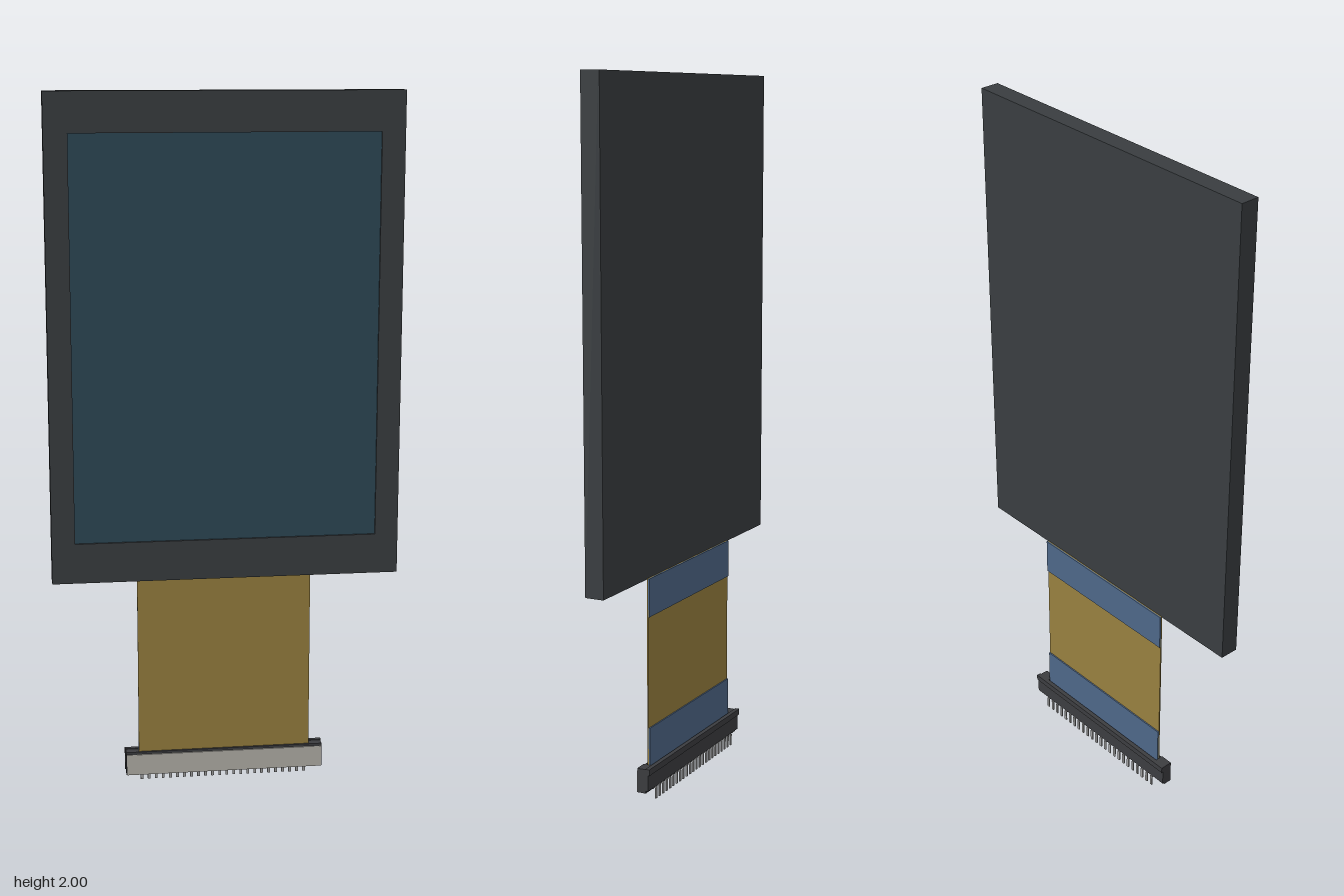
import * as THREE from 'three';

const mat = (color) => new THREE.MeshStandardMaterial({ color });
const DARK = mat(0x393d40), SCREEN = mat(0x2d4856), FILM = mat(0x98803f);
const BLUE = mat(0x4e6788), HOUSING = mat(0xb4b2aa), LATCH = mat(0x3c3d40), METAL = mat(0xa0a0a0);

// Box given by its min and max corners
function box(parent, name, material, [x0, y0, z0], [x1, y1, z1]) {
  const mesh = new THREE.Mesh(new THREE.BoxGeometry(x1 - x0, y1 - y0, z1 - z0), material);
  mesh.position.set((x0 + x1) / 2, (y0 + y1) / 2, (z0 + z1) / 2);
  mesh.name = name;
  parent.add(mesh);
  return mesh;
}

function rect(PathType, x0, y0, x1, y1) {
  return new PathType([[x0, y0], [x1, y0], [x1, y1], [x0, y1]].map(([x, y]) => new THREE.Vector2(x, y)));
}

function subgroup(parent, name) {
  const group = new THREE.Group();
  group.name = name;
  parent.add(group);
  return group;
}

export function createModel() {
  const model = new THREE.Group();
  model.name = 'displayModule';

  // Panel: frame with a window, a slightly recessed screen, and a plain back
  const panel = subgroup(model, 'panel');
  const outline = rect(THREE.Shape, -0.496, 0.632, 0.496, 2);
  outline.holes.push(rect(THREE.Path, -0.43, 0.747, 0.43, 1.888));
  const frame = new THREE.Mesh(
    new THREE.ExtrudeGeometry(outline, { depth: 0.052, bevelEnabled: false }), DARK);
  frame.position.z = -0.012;
  frame.name = 'frame';
  panel.add(frame);
  box(panel, 'backCover', DARK, [-0.496, 0.632, -0.015], [0.496, 2, -0.012]);
  box(panel, 'screen', SCREEN, [-0.43, 0.747, -0.012], [0.43, 1.888, 0.034]);

  // Flat ribbon cable with a stiffener on the back of each end
  const cable = subgroup(model, 'ribbonCable');
  box(cable, 'film', FILM, [-0.252, 0.05, -0.018], [0.252, 0.634, -0.014]);
  box(cable, 'upperStiffener', BLUE, [-0.252, 0.525, -0.022], [0.252, 0.634, -0.018]);
  box(cable, 'lowerStiffener', BLUE, [-0.252, 0.05, -0.022], [0.252, 0.205, -0.018]);

  // Connector: light front wall, dark latch behind, end blocks and a floor
  const connector = subgroup(model, 'connector');
  box(connector, 'frontWall', HOUSING, [-0.288, 0.028, -0.01], [0.288, 0.09, 0]);
  box(connector, 'topLip', LATCH, [-0.282, 0.09, -0.01], [0.282, 0.097, -0.004]);
  box(connector, 'floor', LATCH, [-0.25, 0.028, -0.03], [0.25, 0.05, -0.01]);
  box(connector, 'latch', LATCH, [-0.292, 0.036, -0.036], [0.292, 0.1, -0.028]);
  box(connector, 'latchRib', LATCH, [-0.292, 0.082, -0.041], [0.292, 0.1, -0.036]);
  for (const s of [-1, 1]) {
    const [a, b] = s < 0 ? [-0.29, -0.252] : [0.252, 0.29];
    box(connector, 'endBlock', LATCH, [a, 0.028, -0.028], [b, 0.098, -0.002]);
  }

  // Row of bent solder pins
  const pins = subgroup(connector, 'pins');
  const count = 24;
  for (let i = 0; i < count; i++) {
    const x = -0.242 + (0.484 * i) / (count - 1);
    box(pins, 'pinFoot', METAL, [x - 0.004, 0, -0.038], [x + 0.004, 0.034, -0.034]);
    box(pins, 'pinShoulder', METAL, [x - 0.004, 0.03, -0.036], [x + 0.004, 0.036, -0.028]);
  }

  return model;
}
